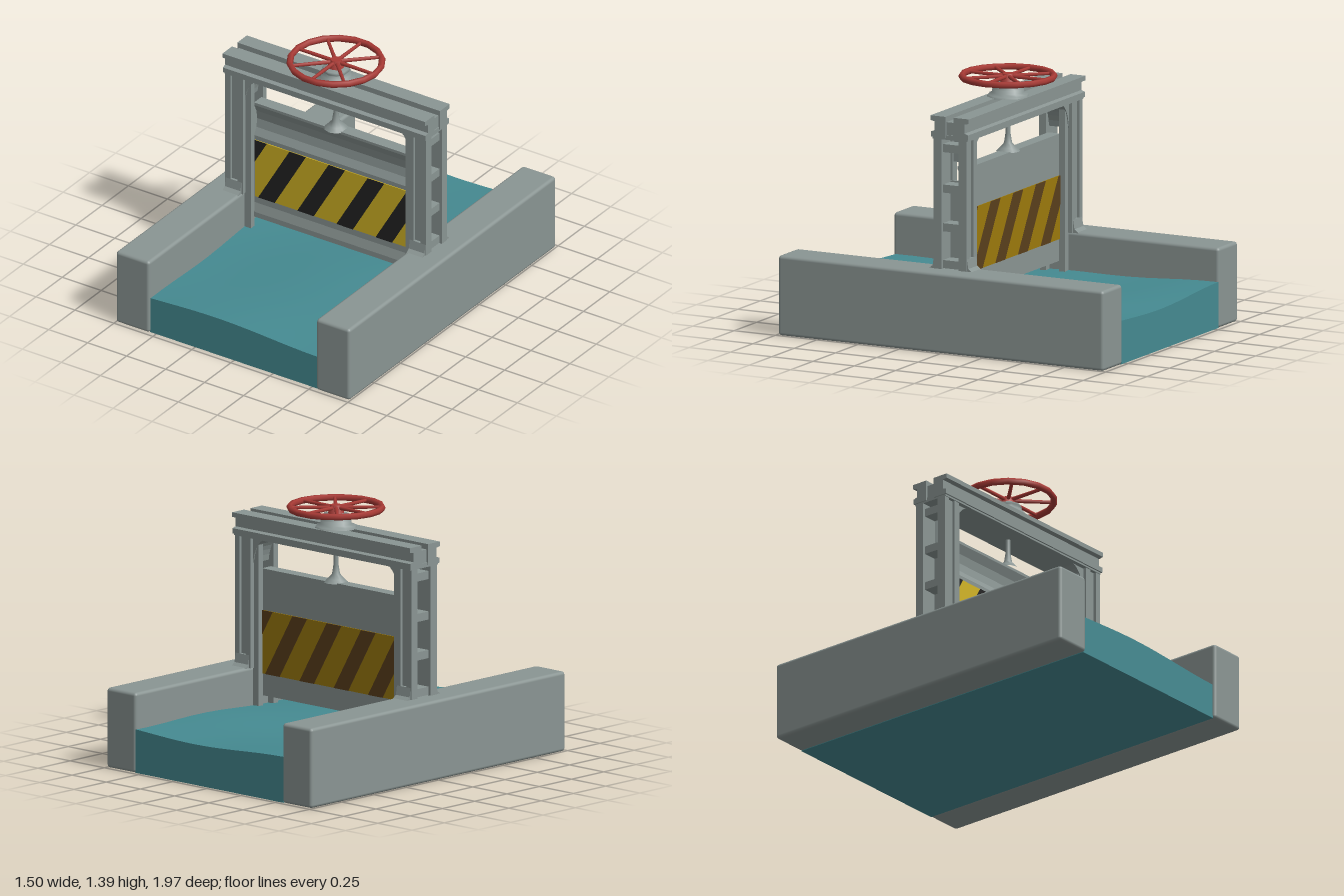
import * as THREE from 'three';
import { RoundedBoxGeometry } from 'three/addons/geometries/RoundedBoxGeometry.js';

const mat = (name, color) => {
  const m = new THREE.MeshStandardMaterial({ color });
  m.name = name;
  return m;
};

export function createModel() {
  const model = new THREE.Group();
  const grey = mat('grey concrete and steel', 0x8a9593);
  const teal = mat('teal water', 0x458a91);
  const yellow = mat('hazard yellow', 0xd2b424);
  const black = mat('hazard black', 0x232323);
  const gold = mat('weathered gold', 0x9c7a0c);
  const brown = mat('weathered brown', 0x5a3f1c);
  const red = mat('red wheel', 0xa83a35);

  const add = (name, geo, material, x = 0, y = 0, z = 0, parent = model) => {
    const m = new THREE.Mesh(geo, material);
    m.name = name;
    m.position.set(x, y, z);
    parent.add(m);
    return m;
  };
  const box = (name, x0, x1, y0, y1, z0, z1, material = grey) =>
    add(name, new THREE.BoxGeometry(x1 - x0, y1 - y0, z1 - z0), material,
      (x0 + x1) / 2, (y0 + y1) / 2, (z0 + z1) / 2);
  const shape = pts => new THREE.Shape(pts.map(p => new THREE.Vector2(p[0], p[1])));
  const extrude = (s, depth) =>
    new THREE.ExtrudeGeometry(s, { depth, bevelEnabled: false, curveSegments: 8 });
  // Profile of [z, y] points swept along x
  const sweepX = (pts, x0, x1) => extrude(shape(pts.map(([z, y]) => [-z, y])), x1 - x0)
    .rotateY(Math.PI / 2).translate(x0, 0, 0);
  // Profile of [x, z] points swept upwards
  const sweepY = (pts, y0, y1) => extrude(shape(pts.map(([x, z]) => [x, -z])), y1 - y0)
    .rotateX(-Math.PI / 2).translate(0, y0, 0);

  // Water block with a gently rippled top, rising towards the back
  const water = new THREE.BoxGeometry(1.08, 0.22, 1.95, 12, 1, 18);
  const p = water.attributes.position;
  for (let i = 0; i < p.count; i++) {
    if (p.getY(i) < 0) continue;
    const x = p.getX(i), z = p.getZ(i);
    p.setY(i, 0.1 + 0.025 * (0.975 - z) / 1.95 + 0.01 * Math.sin(5 * x + 2 * z)
      + 0.006 * Math.sin(7 * z - 3 * x));
  }
  water.computeVertexNormals();
  add('water', water, teal, 0, 0.111, -0.005);

  for (const s of [-1, 1]) {
    const side = s < 0 ? 'right' : 'left';
    const X = (a, b) => s > 0 ? [a, b] : [-b, -a];
    // Channel wall
    add(side + 'Wall', new RoundedBoxGeometry(0.215, 0.435, 1.97, 2, 0.018), grey, s * 0.6425, 0.2175, 0);

    // Upright: a pair of outward-facing channel rails
    for (const f of [-1, 1]) {
      const rail = [[0.53, 0.05], [0.645, 0.05], [0.645, 0.1], [0.61, 0.1],
        [0.61, 0.085], [0.565, 0.085], [0.565, 0.1], [0.53, 0.1]];
      add(side + 'PostRail', sweepY(rail.map(([x, z]) => [s * x, f * z]), 0.43, 1.15), grey);
      // Foot flaring onto the wall
      const foot = [[f * 0.05, 0.43], [f * 0.135, 0.43], [f * 0.108, 0.45], [f * 0.1, 0.5], [f * 0.05, 0.5]];
      add(side + 'PostFoot', sweepX(foot, ...X(0.54, 0.64)), grey);
      // Guide that the gate slides in
      box(side + 'GateGuide', ...X(0.495, 0.545), 0.22, 1.15, ...(f > 0 ? [0.04, 0.075] : [-0.075, -0.04]));
    }
    // Rungs joining the rails
    for (const y of [0.46, 0.66, 0.87, 1.09])
      box(side + 'PostRung', ...X(0.55, 0.63), y - 0.022, y + 0.022, -0.06, 0.06);
    box(side + 'PostWeb', ...X(0.535, 0.55), 0.43, 0.9, -0.055, 0.055);

    // Curved gusset under the beam
    const g = new THREE.Shape();
    g.moveTo(s * 0.535, 1.15);
    g.lineTo(s * 0.41, 1.15);
    g.quadraticCurveTo(s * 0.515, 1.14, s * 0.53, 1.0);
    g.closePath();
    add(side + 'Gusset', extrude(g, 0.16).translate(0, 0, -0.08), grey);
  }

  // Top beam: two channels back to back on a base plate
  box('beamPlate', -0.645, 0.645, 1.14, 1.165, -0.105, 0.105);
  for (const f of [-1, 1]) {
    const c = [[0.025, 1.15], [0.113, 1.15], [0.113, 1.178], [0.09, 1.185],
      [0.09, 1.235], [0.116, 1.24], [0.116, 1.265], [0.025, 1.265]];
    add('beamChannel', sweepX(c.map(([z, y]) => [f * z, y]), -0.65, 0.65), grey);
  }
  box('beamCore', -0.64, 0.64, 1.15, 1.235, -0.03, 0.03);

  // Gate slab with a hollowed upper face
  const gate = [[-0.04, 0.28], [0.045, 0.28], [0.045, 0.31], [0.03, 0.36], [0.03, 0.77],
    [0.008, 0.81], [0, 0.86], [0.008, 0.91], [0.03, 0.955], [0.03, 0.97], [-0.04, 0.97]];
  add('gate', sweepX(gate, -0.505, 0.505), grey);

  // Hazard panels: thin plates with slanted stripes trimmed to the panel
  const y0 = 0.4, H = 0.345, slant = 0.2, half = 0.497;
  const clip = (pts, s) => pts.flatMap((a, i) => {
    const b = pts[(i + 1) % pts.length], ia = s * a[0] <= half, ib = s * b[0] <= half;
    const t = (s * half - a[0]) / (b[0] - a[0]);
    const out = ia ? [a] : [];
    if (ia !== ib) out.push([s * half, a[1] + t * (b[1] - a[1])]);
    return out;
  });
  const panel = (name, base, stripe) => {
    const group = new THREE.Group();
    group.name = name;
    add('panelPlate', new THREE.BoxGeometry(half * 2, H, 0.005), base, 0, y0 + H / 2, 0.0025, group);
    for (let i = 0; i < 5; i++) {
      const b = -0.725 + i * 0.251, w = 0.105;
      const quad = [[b, y0], [b + w, y0], [b + w + slant, y0 + H], [b + slant, y0 + H]];
      add('stripe', extrude(shape(clip(clip(quad, 1), -1)), 0.003), stripe, 0, 0, 0.005, group);
    }
    model.add(group);
    return group;
  };
  panel('frontHazardPanel', yellow, black).position.z = 0.03;
  const back = panel('backHazardPanel', gold, brown);
  back.position.z = -0.04;
  back.rotation.y = Math.PI;

  // Lifting stem flaring onto the gate
  const lathe = (pts, n) => new THREE.LatheGeometry(pts.map(q => new THREE.Vector2(...q)), n);
  add('stem', lathe([[0.065, 0.965], [0.045, 0.985], [0.022, 1.01], [0.014, 1.06], [0.012, 1.15]], 10), grey);

  // Stepped pedestal below the wheel
  add('pedestal', lathe([[0.115, 1.262], [0.11, 1.275], [0.085, 1.285], [0.085, 1.305],
    [0.065, 1.312], [0.075, 1.325], [0.07, 1.338], [0.03, 1.345], [0, 1.345]], 10), grey);

  // Handwheel
  const wheel = new THREE.Group();
  wheel.name = 'handwheel';
  wheel.position.y = 1.372;
  model.add(wheel);
  add('rim', new THREE.TorusGeometry(0.247, 0.018, 6, 18).rotateX(Math.PI / 2), red, 0, 0, 0, wheel);
  add('hub', new THREE.CylinderGeometry(0.03, 0.045, 0.045, 10), red, 0, -0.008, 0, wheel);
  for (let i = 0; i < 8; i++) {
    const spoke = add('spoke', new THREE.CylinderGeometry(0.009, 0.011, 0.225, 6)
      .rotateZ(-Math.PI / 2).translate(0.13, 0, 0), red, 0, 0, 0, wheel);
    spoke.rotation.y = i * Math.PI / 4;
  }
  return model;
}
